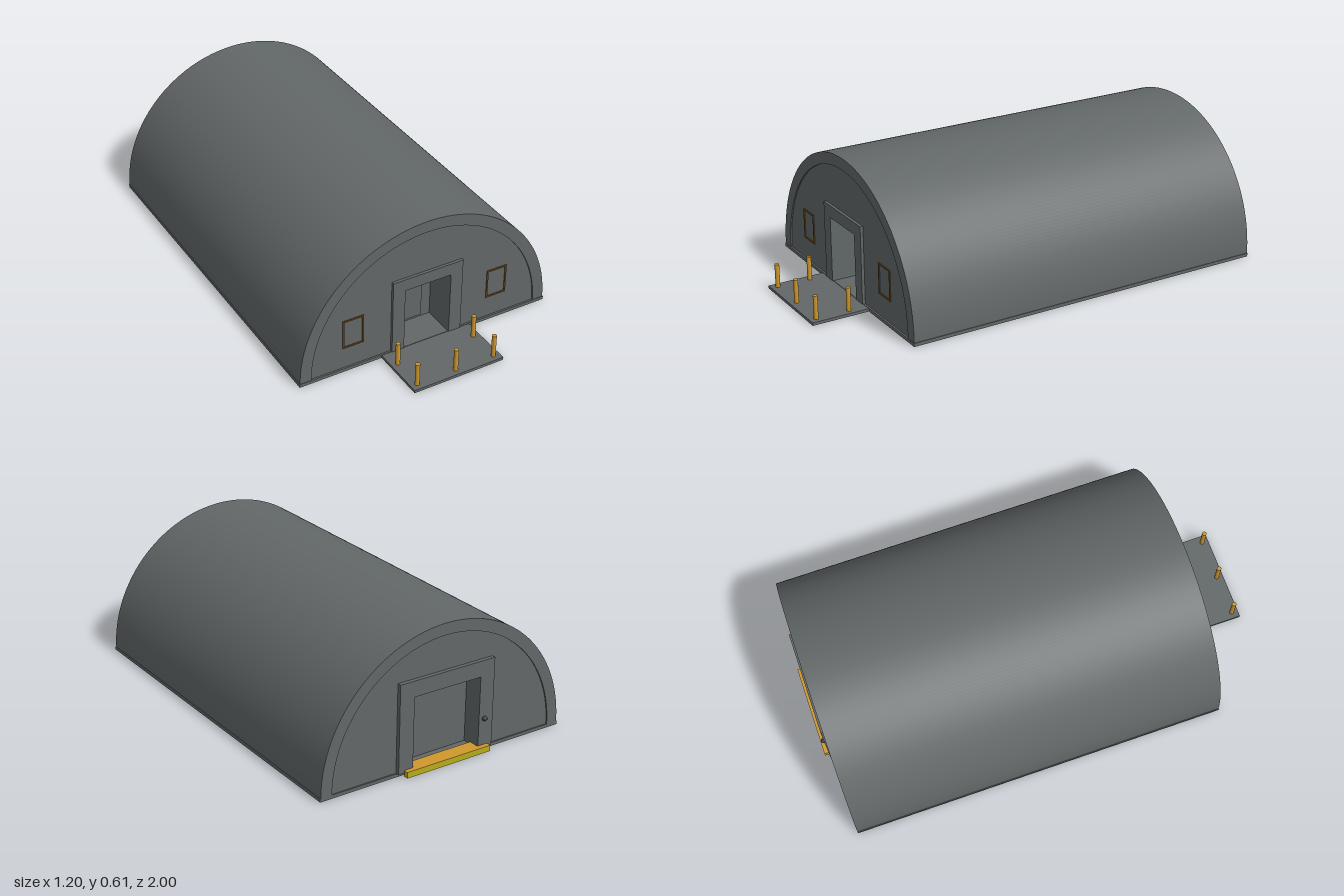
import * as THREE from 'three';
import { toCreasedNormals } from 'three/addons/utils/BufferGeometryUtils.js';

const mat = (name, color) => {
  const m = new THREE.MeshStandardMaterial({ color });
  m.name = name;
  return m;
};

const FLOOR = 0.017, RADIUS = 0.597, INNER = 0.545;

// Half-disc outline standing on the floor
function arch(r) {
  const s = new THREE.Shape();
  s.moveTo(r, FLOOR);
  s.absarc(0, FLOOR, r, 0, Math.PI, false);
  s.closePath();
  return s;
}

// Door-shaped notch reaching down to the bottom edge, cut from an outer outline
function portal(outerW, outerH, w, h) {
  const s = new THREE.Shape();
  const y = FLOOR;
  [[-outerW, y], [-w, y], [-w, h], [w, h], [w, y], [outerW, y], [outerW, outerH], [-outerW, outerH]]
    .forEach(([px, py], i) => (i ? s.lineTo(px, py) : s.moveTo(px, py)));
  s.closePath();
  return s;
}

// Half-disc wall with a doorway cut into its foot
function wallShape(w, h) {
  const s = new THREE.Shape();
  s.moveTo(INNER, FLOOR);
  s.absarc(0, FLOOR, INNER, 0, Math.PI, false);
  s.lineTo(-w, FLOOR);
  s.lineTo(-w, h);
  s.lineTo(w, h);
  s.lineTo(w, FLOOR);
  s.closePath();
  return s;
}

export function createModel() {
  const group = new THREE.Group();
  group.name = 'archedShelter';
  const grey = mat('concrete grey', 0x626767);
  const orange = mat('bollard orange', 0xd0982c);
  const yellow = mat('safety yellow', 0xb4ae1c);
  const brown = mat('window brown', 0x6e4a1c);
  const dark = mat('handle dark grey', 0x3c4040);

  const add = (name, geo, material) => {
    const m = new THREE.Mesh(geo, material);
    m.name = name;
    group.add(m);
    return m;
  };
  // Box given by its minimum and maximum corners
  const box = (name, material, x0, x1, y0, y1, z0, z1) => {
    const m = add(name, new THREE.BoxGeometry(x1 - x0, y1 - y0, z1 - z0), material);
    m.position.set((x0 + x1) / 2, (y0 + y1) / 2, (z0 + z1) / 2);
    return m;
  };
  const extrude = (name, shape, z0, z1, material) => {
    const geo = new THREE.ExtrudeGeometry(shape, { depth: z1 - z0, bevelEnabled: false, curveSegments: 64 });
    geo.translate(0, 0, z0);
    return add(name, toCreasedNormals(geo, 0.5), material);
  };

  // Floor slab and entrance patio
  box('floorSlab', grey, -0.6, 0.6, 0.002, FLOOR, -0.967, 0.742);
  box('patio', grey, -0.215, 0.215, 0.002, 0.015, 0.742, 1);

  // Barrel vault shell
  const shell = arch(RADIUS);
  shell.curves.length = 0;
  shell.moveTo(RADIUS, FLOOR);
  shell.absarc(0, FLOOR, RADIUS, 0, Math.PI, false);
  shell.lineTo(-INNER, FLOOR);
  shell.absarc(0, FLOOR, INNER, Math.PI, 0, true);
  shell.closePath();
  extrude('vaultShell', shell, -0.967, 0.74, grey);

  // Front wall with a deep entrance recess
  extrude('frontWall', wallShape(0.11, 0.312), 0.595, 0.734, grey);
  extrude('frontDoorFrame', portal(0.168, 0.367, 0.11, 0.312), 0.734, 0.747, grey);
  box('frontRecessBack', grey, -0.13, 0.13, FLOOR, 0.33, 0.575, 0.595);
  box('frontDoor', grey, -0.063, 0.063, 0.03, 0.25, 0.595, 0.602);
  box('frontDoorHandle', dark, -0.09, -0.084, 0.125, 0.147, 0.595, 0.603);
  box('frontDoorLever', dark, -0.058, -0.046, 0.135, 0.141, 0.602, 0.609);

  // Rear wall with a wide shallow doorway
  extrude('rearWall', wallShape(0.165, 0.34), -0.961, -0.89, grey);
  extrude('rearDoorFrame', portal(0.235, 0.41, 0.165, 0.34), -0.979, -0.961, grey);
  box('rearDoor', grey, -0.19, 0.19, FLOOR, 0.36, -0.89, -0.87);
  const knob = add('rearDoorKnob', new THREE.SphereGeometry(0.011, 16, 12), dark);
  knob.position.set(-0.19, 0.15, -0.984);

  // Rear kerb and threshold
  box('rearKerb', yellow, -0.213, 0.207, 0.002, 0.026, -1, -0.979);
  box('kerbTop', orange, -0.213, 0.207, 0.026, 0.029, -1, -0.979);
  box('rearThreshold', orange, -0.164, 0.164, FLOOR, 0.028, -0.979, -0.93);

  // Windows: thin brown frames on the front wall
  for (const side of [-1, 1]) {
    const cx = side * 0.348, w = 0.049, t = 0.007;
    for (const e of [-1, 1]) {
      const x = cx + e * (w - t / 2);
      box('windowJamb', brown, x - t / 2, x + t / 2, 0.117, 0.255, 0.733, 0.738);
      const y = 0.186 + e * (0.069 - t / 2);
      box('windowRail', brown, cx - w, cx + w, y - t / 2, y + t / 2, 0.733, 0.738);
    }
  }

  // Bollards around the patio
  for (const [x, z] of [[-0.185, 0.82], [0.185, 0.82], [-0.185, 0.97], [0, 0.97], [0.185, 0.97]]) {
    const b = add('bollard', new THREE.CylinderGeometry(0.01, 0.01, 0.12, 20), orange);
    b.position.set(x, 0.06, z);
  }

  // Underside: rounded pad and edge strips
  const pad = new THREE.Shape();
  const px = 0.29, pz = 0.05, r = 0.025;
  pad.absarc(px - r, pz - r, r, 0, Math.PI / 2, false);
  pad.absarc(r - px, pz - r, r, Math.PI / 2, Math.PI, false);
  pad.absarc(r - px, r - pz, r, Math.PI, Math.PI * 1.5, false);
  pad.absarc(px - r, r - pz, r, Math.PI * 1.5, Math.PI * 2, false);
  const padMesh = add('undersidePad', new THREE.ExtrudeGeometry(pad, { depth: 0.002, bevelEnabled: false }), yellow);
  padMesh.rotation.x = Math.PI / 2;
  padMesh.position.set(0.04, 0.003, -0.76);
  for (const side of [-1, 1])
    for (const [z0, z1] of [[-0.9, -0.6], [-0.45, 0.05], [0.15, 0.68]])
      box('undersideStrip', brown, side * 0.578 - 0.007, side * 0.578 + 0.007, 0.001, 0.004, z0, z1);

  return group;
}
